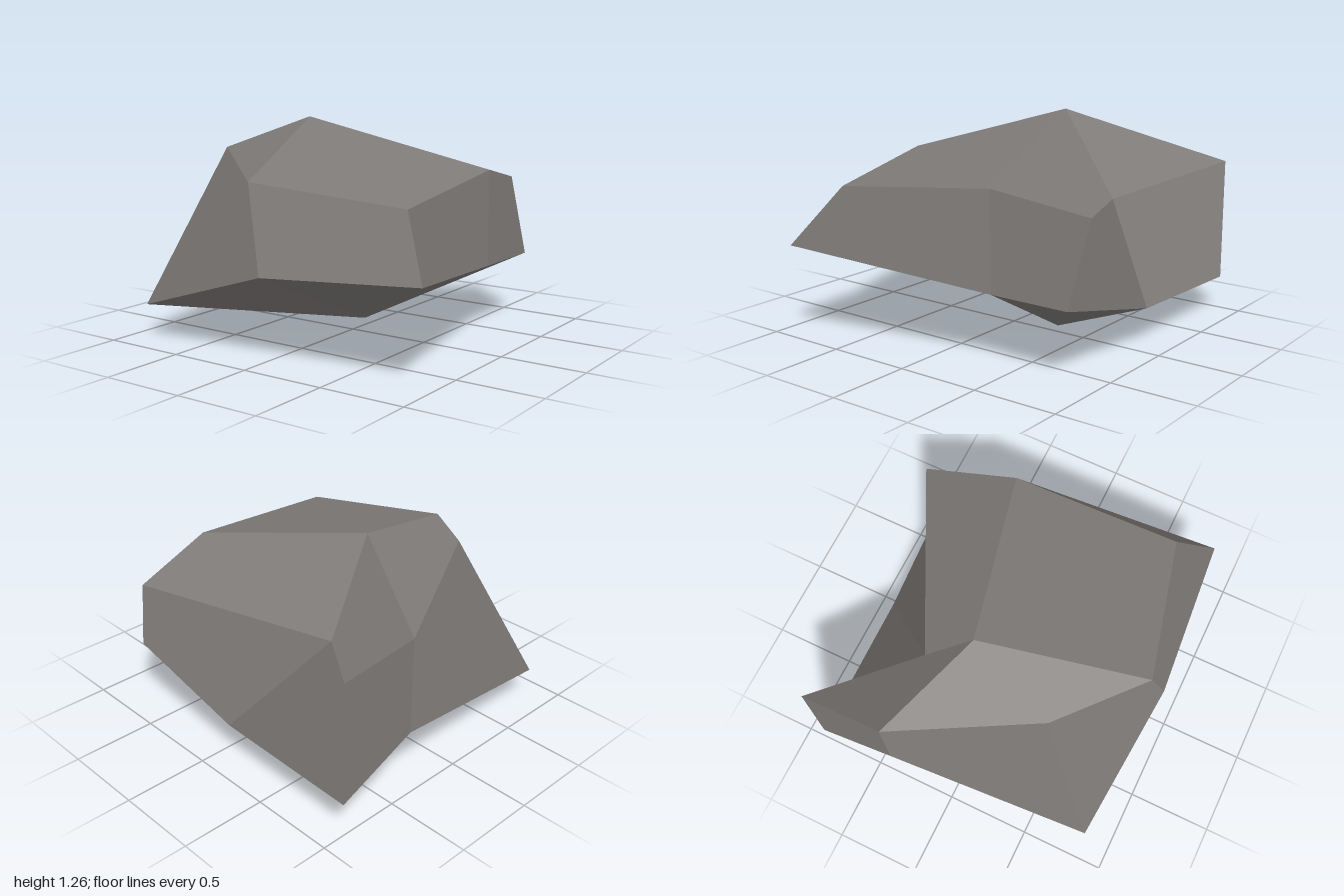
import * as THREE from 'three';

// Corner points of the boulder
const corners = {
  // crown
  E: [0.095, 1.26, -0.39], D: [-0.44, 1.105, -0.59], G: [-0.84, 0.98, -0.09],
  M: [-0.63, 0.885, 0.78], L: [0.375, 0.98, 0.705], J: [0.915, 0.875, 0.575],
  F: [0.41, 0.735, -0.44], C: [0.865, 0.935, -1], B: [0.375, 0.98, -1],
  // waist
  H: [-0.92, 0.49, 0.04], N: [-0.84, 0.55, 1], Q: [0.375, 0.41, 0.705],
  K: [0.865, 0.41, 0.705], I: [0.865, 0.225, -0.09], R: [0.865, 0.2, -1],
  S: [0.375, 0.405, -1], A: [-0.84, 0.2, -0.88],
  // lowest point
  P: [0.26, 0, -0.09],
};

// Facets, counter-clockwise from outside; each is fanned from its first corner
const facets = [
  'GMLE', 'LJFE', 'EFCB', 'EBDG',                // top
  'NQLM', 'QKJL',                                // front
  'KIFJ', 'RCFI',                                // +x side with its notch
  'CRSB', 'SADB',                                // back
  'AHGD', 'HNMG',                                // -x side
  'PAS', 'SRIP', 'PIKQ', 'QNHP', 'PHA',          // underside
];

// Each facet gets one shared normal so it reads as a single cut face
function facetedGeometry() {
  const positions = [], normals = [];
  for (const facet of facets) {
    const p = [...facet].map((key) => new THREE.Vector3(...corners[key]));
    const normal = new THREE.Vector3();
    for (let i = 1; i < p.length - 1; i++) {
      const a = p[i].clone().sub(p[0]);
      const b = p[i + 1].clone().sub(p[0]);
      normal.add(a.cross(b));
    }
    normal.normalize();
    for (let i = 1; i < p.length - 1; i++) {
      for (const v of [p[0], p[i], p[i + 1]]) {
        positions.push(...v.toArray());
        normals.push(...normal.toArray());
      }
    }
  }
  const geometry = new THREE.BufferGeometry();
  geometry.setAttribute('position', new THREE.Float32BufferAttribute(positions, 3));
  geometry.setAttribute('normal', new THREE.Float32BufferAttribute(normals, 3));
  return geometry;
}

export function createModel() {
  const group = new THREE.Group();
  group.name = 'rock';
  const stone = new THREE.MeshStandardMaterial({ color: 0x7d7976 });
  stone.name = 'stone grey';
  const boulder = new THREE.Mesh(facetedGeometry(), stone);
  boulder.name = 'boulder';
  group.add(boulder);
  return group;
}
